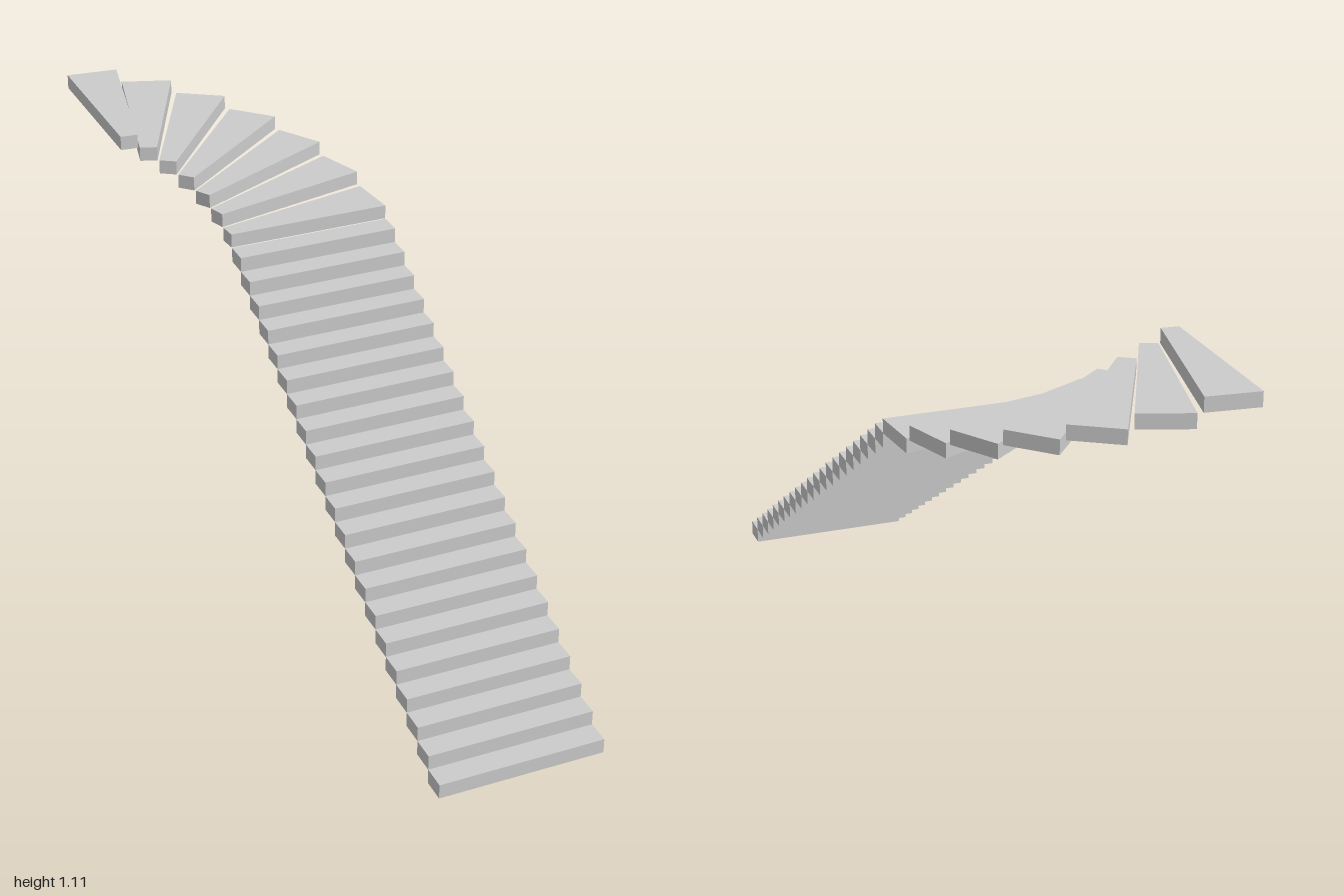
import * as THREE from 'three';

export function createModel() {
  const group = new THREE.Group();
  group.name = 'windingStaircase';
  const material = new THREE.MeshStandardMaterial({ color: 0xcccccc, flatShading: true });
  const add = (geometry, name) => {
    const mesh = new THREE.Mesh(geometry, material);
    mesh.name = name;
    group.add(mesh);
    return mesh;
  };

  // Straight flight, climbing from the front to the back
  const straightCount = 21, rise = 0.0403, going = 0.0632;
  const xMin = -0.111, xMax = 0.334;
  const tread = new THREE.BoxGeometry(xMax - xMin, rise, going);
  for (let i = 0; i < straightCount; i++) {
    add(tread, `straightStep${i + 1}`)
      .position.set((xMin + xMax) / 2, (i + 0.5) * rise, 1 - (i + 0.5) * going);
  }

  // Wedge steps, fanning a quarter turn about the inner corner
  const winderCount = 7, winderRise = 0.0381;
  const cx = -0.332, cz = -0.331, inner = 0.221, outer = 0.667;
  const pitch = THREE.MathUtils.degToRad(13.08), sweep = THREE.MathUtils.degToRad(11.9);
  const corner = (r, a) => new THREE.Vector2(cx + r * Math.cos(a), -cz + r * Math.sin(a));
  for (let i = 0; i < winderCount; i++) {
    const a = i * pitch, b = a + sweep;
    const outline = new THREE.Shape([corner(inner, a), corner(outer, a), corner(outer, b), corner(inner, b)]);
    const wedge = new THREE.ExtrudeGeometry(outline, { depth: winderRise, bevelEnabled: false });
    wedge.rotateX(-Math.PI / 2);
    add(wedge, `winderStep${i + 1}`).position.y = straightCount * rise + i * winderRise;
  }
  return group;
}
